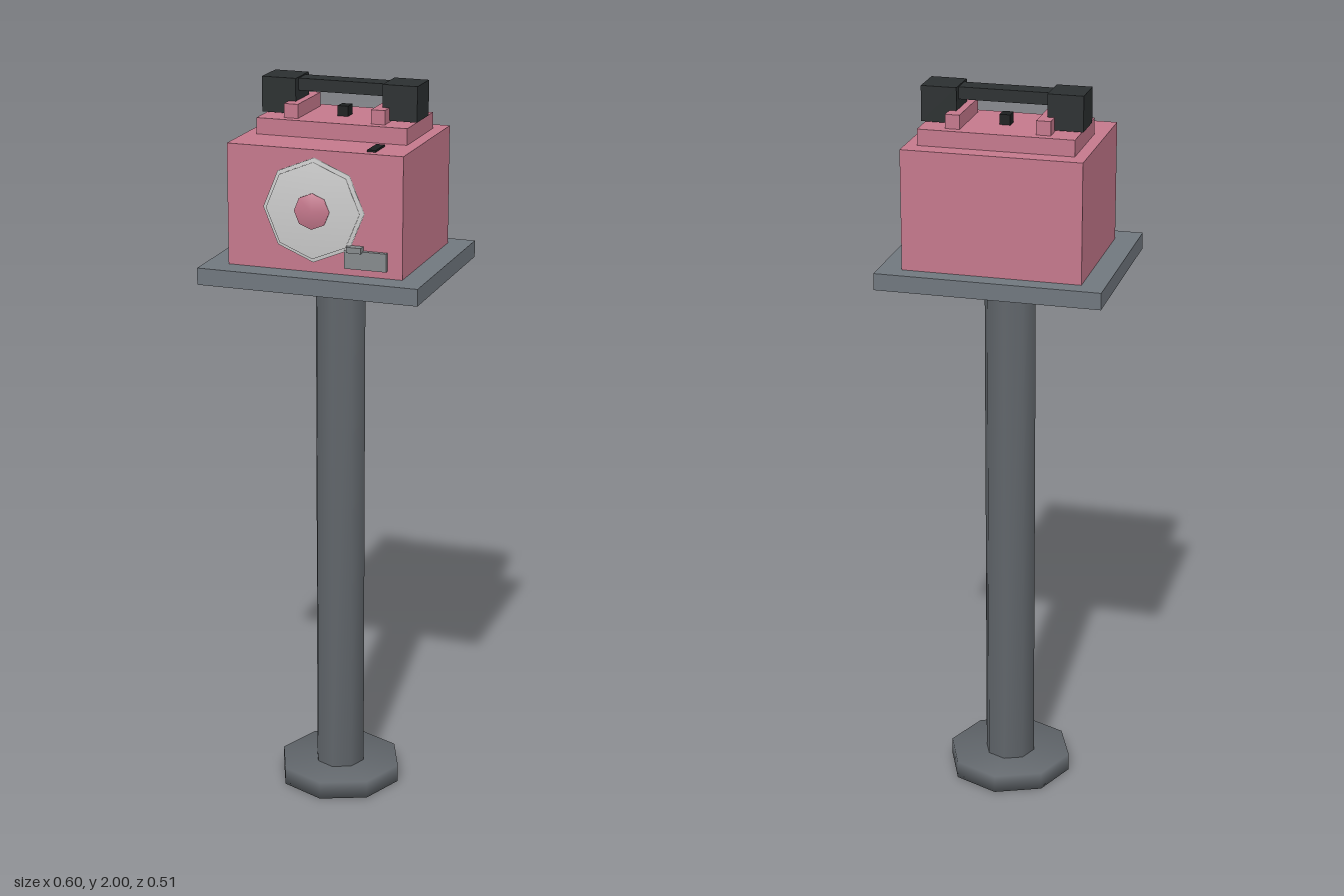
import * as THREE from 'three';
import { mergeVertices } from 'three/addons/utils/BufferGeometryUtils.js';

const mat = (color) => new THREE.MeshStandardMaterial({ color });

// Eight-sided capped cylinder with normals shared across its rims
function softOctagon(radius, height) {
  let geo = new THREE.CylinderGeometry(radius, radius, height, 8);
  geo.deleteAttribute('normal');
  geo.deleteAttribute('uv');
  geo = mergeVertices(geo, 1e-4);
  geo.computeVertexNormals();
  return geo;
}

export function createModel() {
  const group = new THREE.Group();
  const pink = mat(0xc4788c);
  const slate = mat(0x70777e);
  const postGrey = mat(0x60656a);
  const black = mat(0x2b2f30);
  const slotBlack = mat(0x1c1f1f);
  const pale = mat(0xcccccc);
  const labelGrey = mat(0x858a8c);

  const add = (name, geo, material, x, y, z) => {
    const mesh = new THREE.Mesh(geo, material);
    mesh.name = name;
    mesh.position.set(x, y, z);
    group.add(mesh);
    return mesh;
  };
  // Box given by its limits on each axis
  const box = (name, material, [x0, x1], [y0, y1], [z0, z1]) =>
    add(name, new THREE.BoxGeometry(x1 - x0, y1 - y0, z1 - z0), material,
      (x0 + x1) / 2, (y0 + y1) / 2, (z0 + z1) / 2);

  // Stand
  add('base', softOctagon(0.173, 0.05), postGrey, 0, 0.025, -0.013);
  add('post', softOctagon(0.07, 1.49), postGrey, 0, 0.765, -0.013);
  box('tray', slate, [-0.3, 0.3], [1.495, 1.54], [-0.254, 0.254]);

  // Telephone body
  box('body', pink, [-0.238, 0.238], [1.54, 1.86], [-0.207, 0.188]);
  box('upperStep', pink, [-0.206, 0.206], [1.86, 1.903], [-0.159, 0.061]);
  box('hookSwitch', slotBlack, [-0.014, 0.014], [1.903, 1.93], [-0.065, -0.03]);
  box('slot', slotBlack, [0.134, 0.157], [1.86, 1.865], [0.093, 0.165]);

  // Cradle bars and handset ends, one on each side
  for (const side of [-1, 1]) {
    const span = (a, b) => (side > 0 ? [a, b] : [-b, -a]);
    box('cradleBar', pink, span(0.1, 0.138), [1.903, 1.94], [-0.136, 0.037]);
    box('handsetEnd', black, span(0.119, 0.213), [1.907, 2], [-0.097, 0.001]);
  }
  box('handsetGrip', black, [-0.135, 0.134], [1.965, 1.997], [-0.075, -0.021]);

  // Dial: stacked discs facing the front
  const disc = (name, material, radius, z0, z1) => {
    const mesh = add(name, softOctagon(radius, z1 - z0), material, 0, 1.704, (z0 + z1) / 2);
    mesh.rotation.x = Math.PI / 2;
  };
  disc('dialRim', pale, 0.136, 0.186, 0.197);
  disc('dialFace', pale, 0.126, 0.194, 0.204);
  disc('dialHub', pink, 0.047, 0.2, 0.211);

  // Small plate and finger stop beside the dial
  box('plate', labelGrey, [0.085, 0.198], [1.56, 1.608], [0.186, 0.2]);
  box('fingerStop', labelGrey, [0.094, 0.134], [1.605, 1.62], [0.19, 0.212]);

  return group;
}
